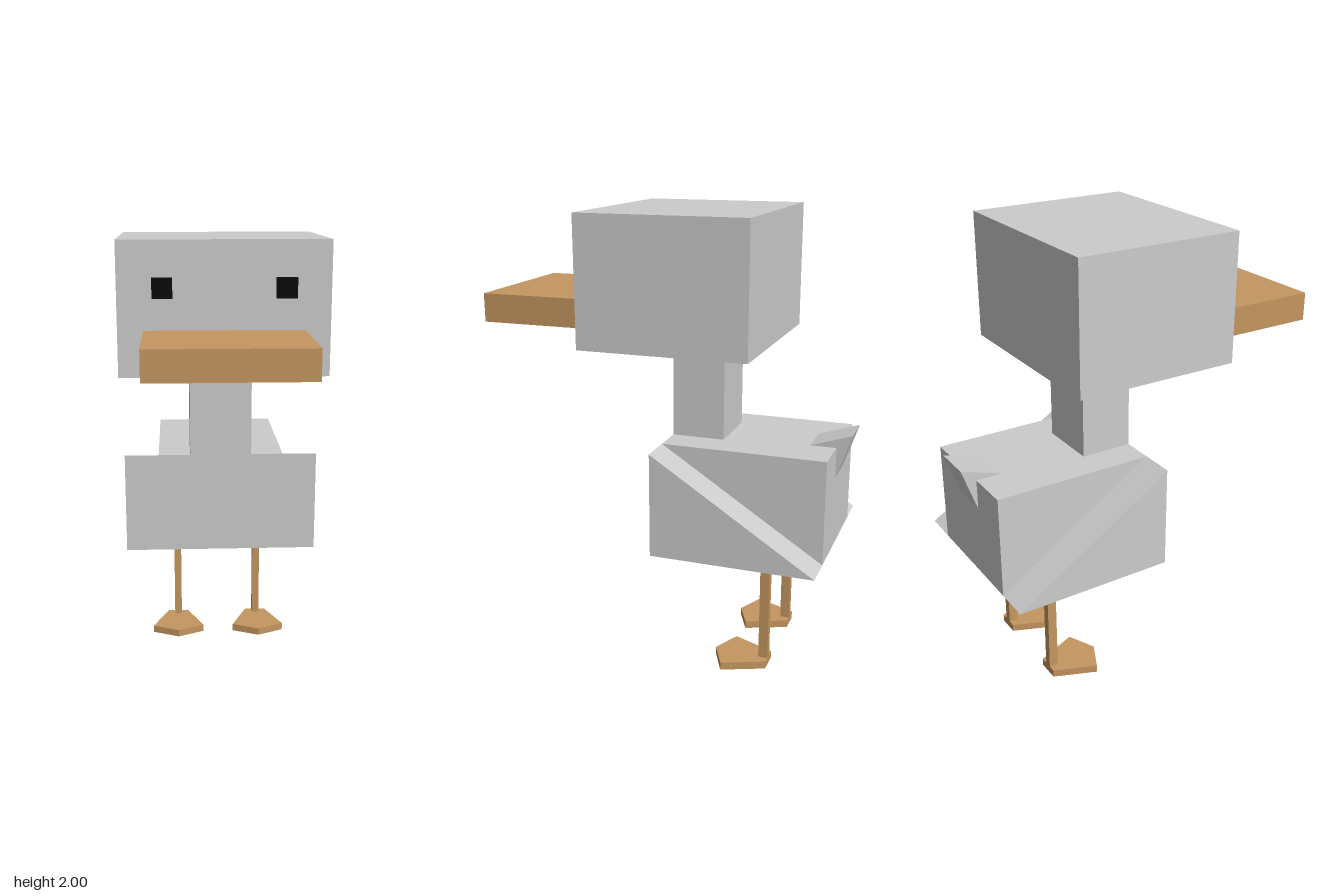
import * as THREE from 'three';

const grey = new THREE.MeshStandardMaterial({ color: 0xcccccc, flatShading: true });
const orange = new THREE.MeshStandardMaterial({ color: 0xc49660, flatShading: true });
const black = new THREE.MeshStandardMaterial({ color: 0x0a0a0a, flatShading: true });

export function createModel() {
  const group = new THREE.Group();

  const add = (name, geometry, material) => {
    const mesh = new THREE.Mesh(geometry, material);
    mesh.name = name;
    group.add(mesh);
    return mesh;
  };

  // Box given by its [min, max] range on each axis
  const box = (name, material, [x0, x1], [y0, y1], [z0, z1]) =>
    add(name, new THREE.BoxGeometry(x1 - x0, y1 - y0, z1 - z0), material)
      .position.set((x0 + x1) / 2, (y0 + y1) / 2, (z0 + z1) / 2);

  const outline = (points) => new THREE.Shape(points.map(([a, b]) => new THREE.Vector2(a, b)));

  // Prism from a (z, y) side profile, centred on x with the given width
  const sidePrism = (name, material, points, width, x) => {
    const geometry = new THREE.ExtrudeGeometry(outline(points), { depth: width, bevelEnabled: false });
    geometry.translate(0, 0, -width / 2).rotateY(-Math.PI / 2);
    add(name, geometry, material).position.x = x;
  };

  // Head, beak, neck and body
  box('head', grey, [-0.44, 0.44], [1.44, 2], [-0.43, 0.31]);
  box('beak', orange, [-0.333, 0.333], [1.51, 1.635], [0.31, 0.797]);
  box('neck', grey, [-0.14, 0.14], [1.02, 1.44], [-0.243, -0.01]);
  box('body', grey, [-0.285, 0.285], [0.56, 1.02], [-0.73, -0.01]);

  // Upturned tail wedge
  sidePrism('tail', grey, [[-0.6, 1.015], [-0.797, 1.08], [-0.725, 0.87]], 0.176, 0);

  // Webbed foot: blunt heel, wide sides and a pointed front, in (x, z)
  const footShape = outline([[-0.05, -0.487], [0.05, -0.487], [0.127, -0.3], [0, -0.24], [-0.127, -0.3]]);

  for (const [side, s] of [['left', 1], ['right', -1]]) {
    const range = (a, b) => [Math.min(s * a, s * b), Math.max(s * a, s * b)];

    box(side + 'Eye', black, range(0.212, 0.296), [1.767, 1.85], [0.31, 0.345]);
    sidePrism(side + 'Wing', grey, [[-0.01, 1.02], [-0.73, 0.56], [-0.01, 0.56]], 0.155, s * 0.3625);
    box(side + 'Leg', orange, range(0.185, 0.22), [0.035, 0.56], [-0.487, -0.445]);

    const foot = new THREE.ExtrudeGeometry(footShape, { depth: 0.035, bevelEnabled: false });
    foot.rotateX(Math.PI / 2);
    add(side + 'Foot', foot, orange).position.set(s * 0.2025, 0.035, 0);
  }

  return group;
}
